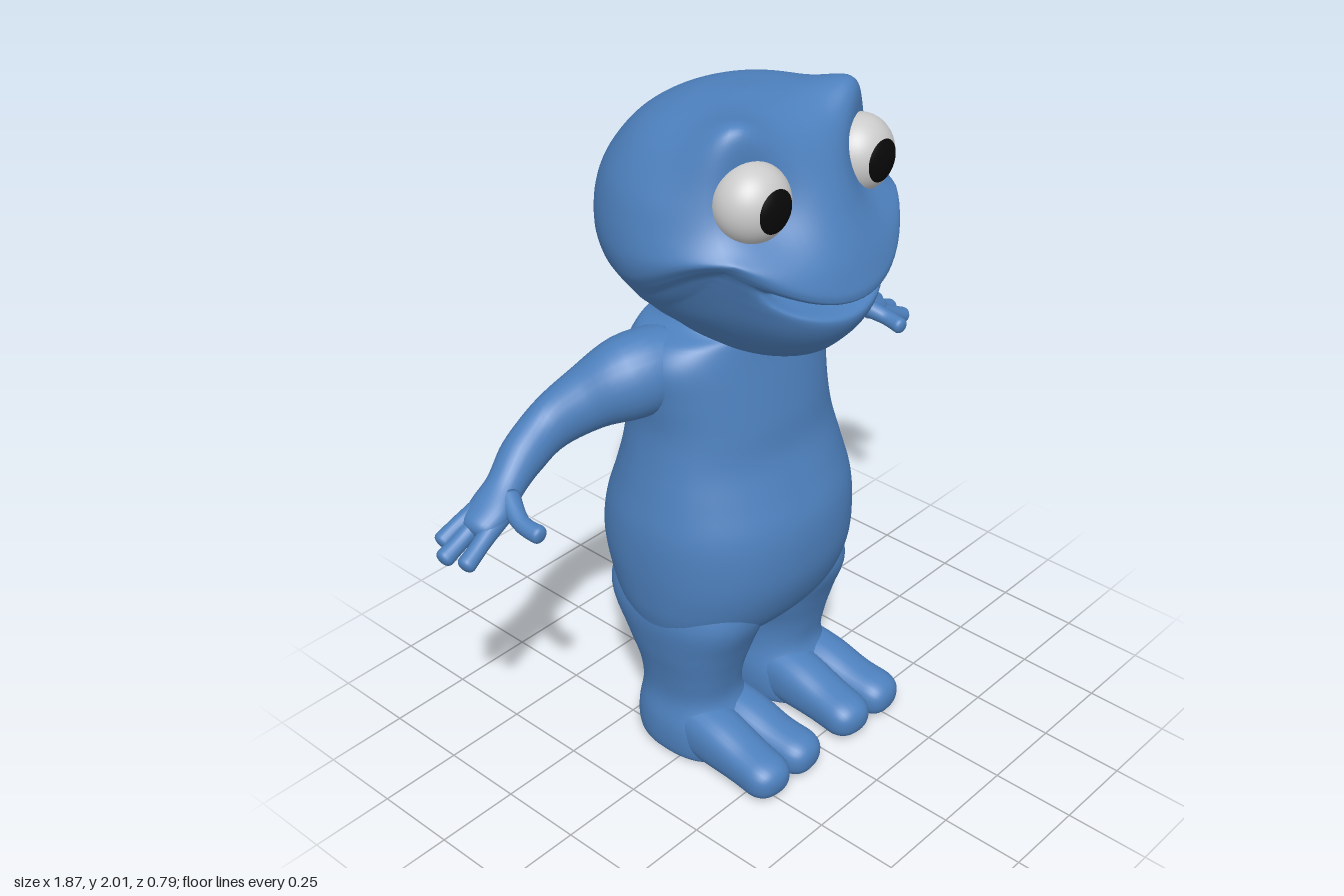
import * as THREE from 'three';

const skin = new THREE.MeshStandardMaterial({ color: 0x4d80bd });
const white = new THREE.MeshStandardMaterial({ color: 0xcccccc });
const black = new THREE.MeshStandardMaterial({ color: 0x080808 });
const SEG = 96;

const gauss = (d, w) => Math.exp(-(d * d) / (w * w));
const smooth = THREE.MathUtils.smoothstep;
const power = (v, n) => Math.sign(v) * Math.abs(v) ** (2 / n);

// Smoothly interpolates every column of a table of rows, u = 0..1
function sample(rows, u) {
  const t = u * (rows.length - 1);
  const i = Math.min(Math.floor(t), rows.length - 2);
  const f = t - i;
  const row = (k) => rows[THREE.MathUtils.clamp(k, 0, rows.length - 1)];
  return rows[0].map((_, c) => {
    const p0 = row(i - 1)[c], p1 = row(i)[c], p2 = row(i + 1)[c], p3 = row(i + 2)[c];
    return p1 + 0.5 * f * (p2 - p0 + f * (2 * p0 - 5 * p1 + 4 * p2 - p3 + f * (3 * (p1 - p2) + p3 - p0)));
  });
}

// Closed skin over rings of points; ringAt(u) gives a function angle -> Vector3
function skinRings(steps, seg, ringAt) {
  const pos = [], index = [];
  for (let i = 0; i <= steps; i++) {
    const at = ringAt(i / steps);
    for (let j = 0; j < seg; j++) pos.push(...at((j / seg) * Math.PI * 2).toArray());
  }
  for (let i = 0; i < steps; i++) {
    for (let j = 0; j < seg; j++) {
      const a = i * seg + j, b = i * seg + ((j + 1) % seg);
      index.push(a, a + seg, b, b, a + seg, b + seg);
    }
  }
  // end caps
  for (const [start, top] of [[0, false], [steps * seg, true]]) {
    const centre = new THREE.Vector3();
    for (let j = 0; j < seg; j++) centre.add(new THREE.Vector3().fromArray(pos, (start + j) * 3));
    const c = pos.length / 3;
    pos.push(...centre.divideScalar(seg).toArray());
    for (let j = 0; j < seg; j++) {
      const a = start + j, b = start + ((j + 1) % seg);
      index.push(...(top ? [a, c, b] : [a, b, c]));
    }
  }
  const g = new THREE.BufferGeometry();
  g.setAttribute('position', new THREE.Float32BufferAttribute(pos, 3));
  g.setIndex(index);
  g.computeVertexNormals();
  return g;
}

// Upright loft; rows are [y, centreX, halfWidth, frontZ, backZ, notch]
function loft(rows, steps, n, deform) {
  return skinRings(steps, SEG, (u) => {
    const [y, cx, rx, zf, zb, notch = 0] = sample(rows, u);
    return (a) => {
      const c = power(Math.cos(a), n), s = power(Math.sin(a), n);
      const p = new THREE.Vector3(cx + rx * c, y, (zf + zb) / 2 + ((zf - zb) / 2) * s);
      if (s > 0) p.z -= notch * smooth(0.8 - Math.abs(c), 0, 0.35);
      if (deform) deform(p);
      return p;
    };
  });
}

// Limb along a path with a rounded tip; rows are [x, y, z, sideRadius, heightRadius]
function limb(rows, steps = 40, n = 2, seg = 28) {
  const at = (u) => new THREE.Vector3(...sample(rows, u).slice(0, 3));
  const up = new THREE.Vector3(0, 1, 0);
  const first = at(0), last = at(1), tipR = rows[rows.length - 1][3];
  const roundPart = Math.min(0.5, tipR / first.distanceTo(last));
  return skinRings(steps, seg, (v) => {
    const u = 1 - (1 - v) ** 1.5;
    const [, , , rs, rh] = sample(rows, u);
    const t = at(Math.min(1, u + 0.01)).sub(at(Math.max(0, u - 0.01))).normalize();
    const b = new THREE.Vector3().crossVectors(t, up).normalize();
    const h = new THREE.Vector3().crossVectors(b, t);
    const k = Math.max(0, (u - 1 + roundPart) / roundPart);
    const scale = Math.sqrt(Math.max(0.0004, 1 - k * k));
    return (a) => at(u)
      .addScaledVector(b, power(Math.cos(a), n) * rs * scale)
      .addScaledVector(h, power(Math.sin(a), n) * rh * scale);
  });
}

function mirrored(g) {
  const m = g.clone();
  m.scale(-1, 1, 1);
  const ix = m.index;
  for (let i = 0; i < ix.count; i += 3) {
    const a = ix.getX(i);
    ix.setX(i, ix.getX(i + 2));
    ix.setX(i + 2, a);
  }
  m.computeVertexNormals();
  return m;
}

export function createModel() {
  const model = new THREE.Group();
  const add = (name, g, mat = skin) => {
    const mesh = new THREE.Mesh(g, mat);
    mesh.name = name;
    model.add(mesh);
  };
  const addPair = (name, g, mat) => {
    add('left' + name, g, mat);
    add('right' + name, mirrored(g), mat);
  };

  // Torso with a groove down the back
  add('torso', loft([
    [0.36, 0, 0.04, 0.0, -0.1], [0.38, 0, 0.14, 0.06, -0.2], [0.43, 0, 0.31, 0.14, -0.28],
    [0.5, 0, 0.35, 0.195, -0.33], [0.6, 0, 0.365, 0.235, -0.375], [0.7, 0, 0.37, 0.245, -0.395],
    [0.8, 0, 0.365, 0.235, -0.38], [0.9, 0, 0.345, 0.2, -0.345], [1.0, 0, 0.325, 0.165, -0.315],
    [1.1, 0, 0.312, 0.15, -0.3], [1.2, 0, 0.32, 0.13, -0.29], [1.29, 0, 0.325, 0.11, -0.28],
    [1.35, 0, 0.28, 0.1, -0.265], [1.38, 0, 0.2, 0.1, -0.25], [1.45, 0, 0.16, 0.1, -0.24],
  ], 70, 2.25, (p) => {
    if (p.z < -0.05) p.z += 0.055 * gauss(p.x, 0.04) * (1 - smooth(p.y, 0.65, 1.35));
  }));

  // Head: mouth notch, smile, raised brows and eye sockets
  add('head', loft([
    [1.3, 0, 0.03, 0.14, 0.06, 0], [1.315, 0, 0.1, 0.19, -0.1, 0], [1.35, 0, 0.165, 0.265, -0.21, 0],
    [1.4, 0, 0.225, 0.32, -0.25, 0], [1.44, 0, 0.275, 0.352, -0.28, 0], [1.475, 0, 0.31, 0.368, -0.305, 0],
    [1.495, 0, 0.33, 0.372, -0.32, 0.012], [1.51, 0, 0.342, 0.378, -0.33, 0.06],
    [1.525, 0, 0.352, 0.383, -0.337, 0.1], [1.535, 0, 0.36, 0.387, -0.342, 0.09],
    [1.54, 0, 0.365, 0.39, -0.346, 0.01], [1.56, 0, 0.38, 0.395, -0.355, 0], [1.6, 0, 0.4, 0.385, -0.373, 0],
    [1.66, 0, 0.406, 0.363, -0.388, 0], [1.74, 0, 0.39, 0.325, -0.388, 0], [1.82, 0, 0.362, 0.285, -0.36, 0],
    [1.9, 0, 0.31, 0.235, -0.3, 0], [1.95, 0, 0.25, 0.185, -0.235, 0], [1.98, 0, 0.17, 0.12, -0.16, 0],
    [1.99, 0, 0.08, 0.05, -0.09, 0], [1.995, 0, 0.005, -0.01, -0.02, 0],
  ], 140, 2, (p) => {
    const x = Math.abs(p.x), { y, z } = p;
    const brow = gauss(Math.hypot(x - 0.23, (y - 1.92) * 0.9, z - 0.16), 0.11);
    p.y += 0.12 * Math.min(1.1, (x / 0.3) ** 2) * smooth(z, -0.1, 0.22) * gauss(y - 1.52, 0.14);
    p.y += 0.085 * brow;
    p.x += Math.sign(p.x) * 0.015 * brow;
    if (z > 0) p.z += 0.03 * brow - 0.055 * gauss(Math.hypot(x - 0.2, y - 1.8), 0.1);
  }));

  // Eyes
  const eye = (g) => g.scale(1, 1, 0.9).rotateY(0.12).translate(0.205, 1.815, 0.192);
  addPair('Eye', eye(new THREE.SphereGeometry(0.105, 40, 28)), white);
  addPair('Pupil', eye(new THREE.SphereGeometry(0.1065, 32, 10, 0, Math.PI * 2, 0, 0.57)
    .rotateX(Math.PI / 2).rotateY(-0.1)), black);

  // Arms
  addPair('Arm', limb([
    [0.2, 1.26, -0.1, 0.11, 0.11], [0.32, 1.25, -0.135, 0.11, 0.12], [0.42, 1.205, -0.195, 0.085, 0.092],
    [0.52, 1.15, -0.24, 0.064, 0.076], [0.62, 1.1, -0.24, 0.06, 0.066], [0.7, 1.05, -0.225, 0.053, 0.05],
    [0.77, 1.015, -0.21, 0.062, 0.04], [0.84, 0.98, -0.205, 0.05, 0.034],
  ], 48));

  // Fingers and thumb
  [
    [[0.76, 1.02, -0.235], [0.84, 0.99, -0.25], [0.905, 0.955, -0.258]],
    [[0.76, 1.02, -0.215], [0.85, 0.97, -0.22], [0.932, 0.932, -0.222]],
    [[0.76, 1.01, -0.18], [0.84, 0.97, -0.165], [0.915, 0.932, -0.155]],
    [[0.72, 1.04, -0.19], [0.75, 1.01, -0.11], [0.745, 1.0, -0.035]],
  ].forEach((path, i) => {
    const radii = [0.032, 0.024, 0.026];
    addPair(i < 3 ? 'Finger' + (i + 1) : 'Thumb',
      limb(path.map((p, k) => [...p, radii[k], radii[k]]), 24, 2, 18));
  });

  // Legs with heels
  addPair('Leg', loft([
    [0.005, 0.18, 0.115, 0.1, -0.19], [0.01, 0.18, 0.137, 0.13, -0.215], [0.05, 0.18, 0.145, 0.14, -0.225],
    [0.11, 0.18, 0.142, 0.13, -0.222], [0.19, 0.18, 0.124, 0.09, -0.21], [0.28, 0.185, 0.128, 0.1, -0.217],
    [0.38, 0.18, 0.153, 0.13, -0.26], [0.5, 0.175, 0.17, 0.17, -0.32], [0.62, 0.17, 0.14, 0.14, -0.3],
  ], 40, 2.4));

  // Two broad toes on each foot
  [[0.13, 0.118, 0.104], [0.23, 0.244, 0.257]].forEach(([x0, x1, x2], i) => {
    addPair(i ? 'OuterToe' : 'InnerToe', limb([
      [x0, 0.095, -0.02, 0.08, 0.095], [(x0 + x1) / 2, 0.086, 0.1, 0.08, 0.086],
      [x1, 0.068, 0.22, 0.073, 0.068], [x2, 0.056, 0.35, 0.072, 0.058],
    ], 36, 2.4));
  });

  return model;
}
